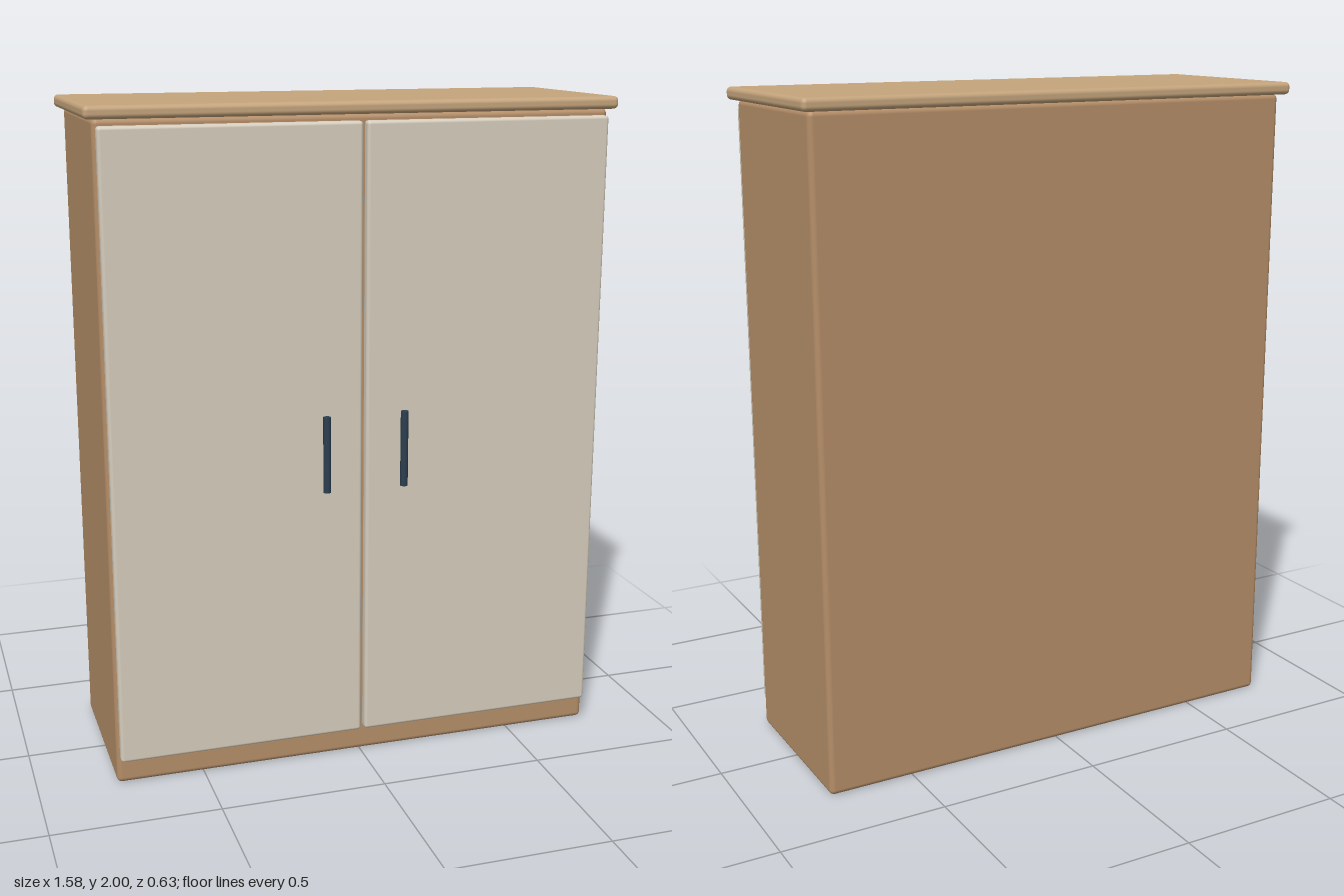
import * as THREE from 'three';
import { RoundedBoxGeometry } from 'three/addons/geometries/RoundedBoxGeometry.js';

const mat = (color) => new THREE.MeshStandardMaterial({ color });

// Rounded panel given by its minimum and maximum corners
function panel(name, min, max, radius, material) {
  const size = max.map((v, i) => v - min[i]);
  const mesh = new THREE.Mesh(new RoundedBoxGeometry(...size, 3, radius), material);
  mesh.name = name;
  mesh.position.set(...max.map((v, i) => (v + min[i]) / 2));
  return mesh;
}

export function createModel() {
  const group = new THREE.Group();
  group.name = 'wardrobe';
  const wood = mat(0xb58e68);
  const topWood = mat(0xc4a47c);
  const cream = mat(0xd6cdbd);
  const darkMetal = mat(0x2c3e50);

  // Carcass and overhanging top board
  group.add(panel('body', [-0.765, 0, -0.29], [0.765, 1.965, 0.26], 0.016, wood));
  group.add(panel('topBoard', [-0.79, 1.963, -0.317], [0.79, 2, 0.285], 0.014, topWood));

  // Mirrored pair of doors, each with an upright bar handle
  for (const [side, s] of [['left', 1], ['right', -1]]) {
    const door = panel(side + 'Door', [-0.375, 0.08, 0.256], [0.375, 1.945, 0.291], 0.01, cream);
    door.position.x = s * 0.381;
    group.add(door);

    const handle = new THREE.Mesh(new THREE.CylinderGeometry(0.0115, 0.0115, 0.23, 16), darkMetal);
    handle.name = side + 'Handle';
    handle.position.set(s * 0.12, 0.985, 0.306);
    group.add(handle);
  }
  return group;
}
